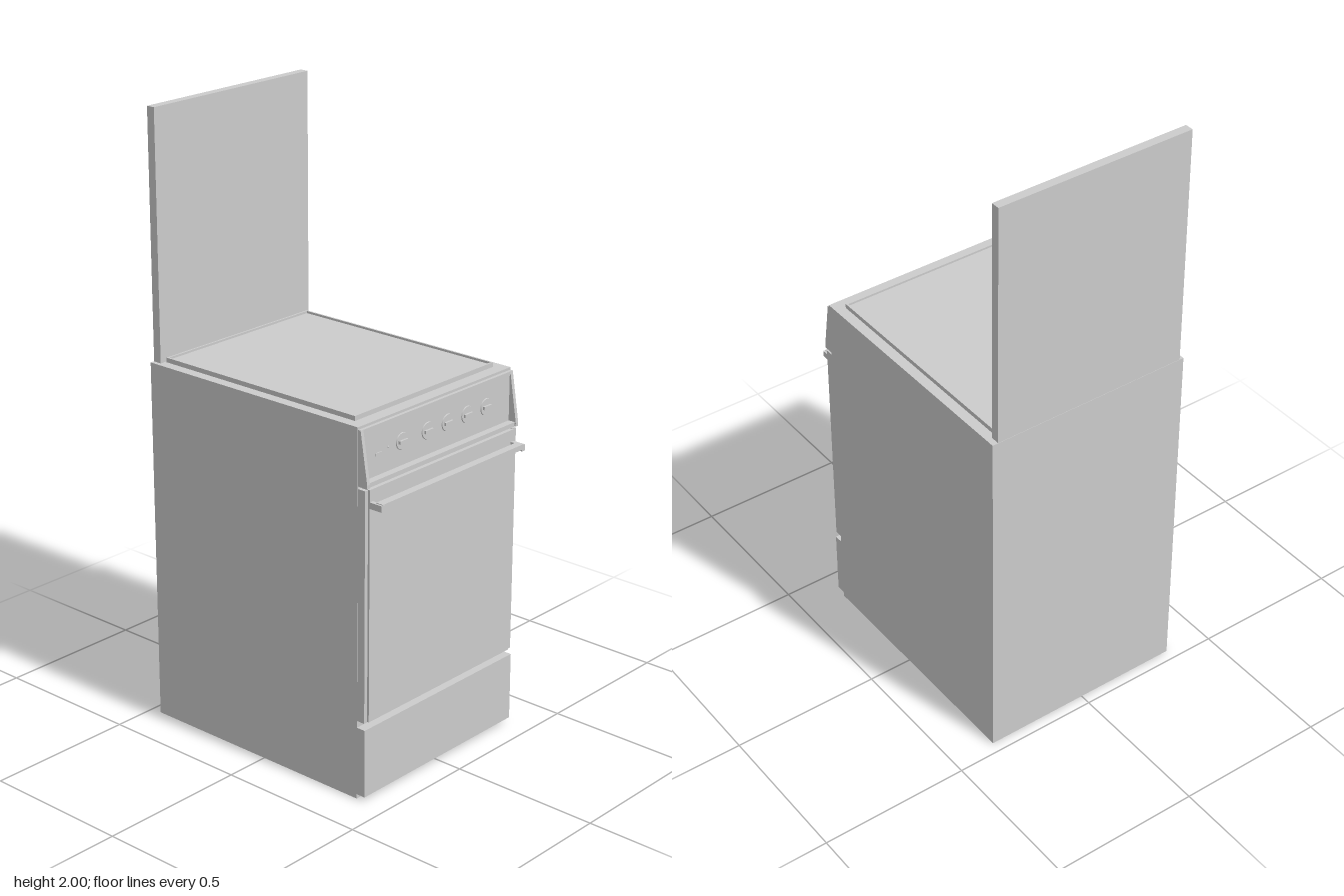
import * as THREE from 'three';

const grey = new THREE.MeshStandardMaterial({ color: 0xcccccc });

export function createModel() {
  const cooker = new THREE.Group();
  cooker.name = 'cooker';

  const add = (name, geometry, parent = cooker) => {
    const mesh = new THREE.Mesh(geometry, grey);
    mesh.name = name;
    parent.add(mesh);
    return mesh;
  };
  // Box given by its limits on each axis
  const box = (name, [x0, x1], [y0, y1], [z0, z1], parent) => {
    const mesh = add(name, new THREE.BoxGeometry(x1 - x0, y1 - y0, z1 - z0), parent);
    mesh.position.set((x0 + x1) / 2, (y0 + y1) / 2, (z0 + z1) / 2);
    return mesh;
  };
  // Side profile of [z, y] points, extruded across x
  const profile = (name, points, x0, x1) => {
    const shape = new THREE.Shape(points.map(([z, y]) => new THREE.Vector2(z, y)));
    const geometry = new THREE.ExtrudeGeometry(shape, { depth: x1 - x0, bevelEnabled: false });
    geometry.rotateY(-Math.PI / 2).translate(x1, 0, 0);
    return add(name, geometry);
  };
  // Flat rectangular ring lying in the xz plane, corners counter-clockwise
  const ring = (name, [x0, x1], [z0, z1], wall, y, height) => {
    const rect = (Type, i) => new Type([[x0 + i, i - z1], [x1 - i, i - z1], [x1 - i, -z0 - i], [x0 + i, -z0 - i]]
      .map(([a, b]) => new THREE.Vector2(a, b)));
    const shape = rect(THREE.Shape, 0);
    shape.holes.push(rect(THREE.Path, wall));
    const geometry = new THREE.ExtrudeGeometry(shape, { depth: height, bevelEnabled: false });
    geometry.rotateX(-Math.PI / 2).translate(0, y, 0);
    return add(name, geometry);
  };

  // Carcass, open underneath
  box('body', [-0.352, 0.352], [0.28, 1.2], [-0.463, 0.386]);
  ring('baseSkirt', [-0.352, 0.352], [-0.463, 0.386], 0.003, 0, 0.28);

  // Hob cover with a raised rim
  ring('hobRim', [-0.318, 0.318], [-0.428, 0.345], 0.006, 1.2, 0.015);
  box('hobSurface', [-0.312, 0.312], [1.2, 1.208], [-0.422, 0.339]);

  // Upright lid at the back
  box('raisedLid', [-0.338, 0.332], [1.2, 2.0], [-0.462, -0.433]);

  // Control panel: upright fascia between wedge-shaped cheeks, with a ledge below
  box('controlFascia', [-0.339, 0.339], [1.03, 1.182], [0.38, 0.394]);
  box('panelTopRail', [-0.339, 0.339], [1.182, 1.192], [0.38, 0.397]);
  box('panelLedge', [-0.339, 0.339], [1.018, 1.032], [0.38, 0.418]);
  for (const side of [-1, 1]) {
    profile('panelCheek', [[0.38, 1.018], [0.422, 1.018], [0.422, 1.03], [0.396, 1.192], [0.38, 1.192]],
      side * 0.345 - 0.006, side * 0.345 + 0.006);
  }

  // Controls on the fascia
  const control = (name, x) => {
    const group = new THREE.Group();
    group.name = name;
    group.position.set(x, 1.108, 0.394);
    cooker.add(group);
    return group;
  };
  for (const x of [-0.166, -0.05, 0.042, 0.134, 0.225]) {
    const knob = control('knob', x);
    add('knobDial', new THREE.CylinderGeometry(0.026, 0.028, 0.006, 32).rotateX(Math.PI / 2), knob);
    box('knobGrip', [-0.018, 0.018], [-0.005, 0.005], [0, 0.01], knob);
  }
  box('lightSwitch', [-0.014, 0.014], [-0.013, -0.005], [-0.002, 0.003], control('switch', -0.272));
  add('indicator', new THREE.SphereGeometry(0.003, 12, 8), control('indicatorLight', -0.228));

  // Oven door with edge strips
  box('ovenDoor', [-0.335, 0.335], [0.262, 1.01], [0.385, 0.418]);
  for (const side of [-1, 1]) {
    const x = side * 0.3445;
    box('doorEdgeStrip', [x - 0.0065, x + 0.0065], [0.262, 1.01], [0.385, 0.414]);
    // Handle bracket
    const b = side * 0.328;
    box('handleBracket', [b - 0.007, b + 0.007], [0.952, 0.972], [0.41, 0.463]);
  }
  box('handleBar', [-0.328, 0.328], [0.957, 0.974], [0.436, 0.462]);

  // Drawer front below the door
  box('drawerFront', [-0.352, 0.352], [0.015, 0.24], [0.385, 0.417]);

  return cooker;
}
